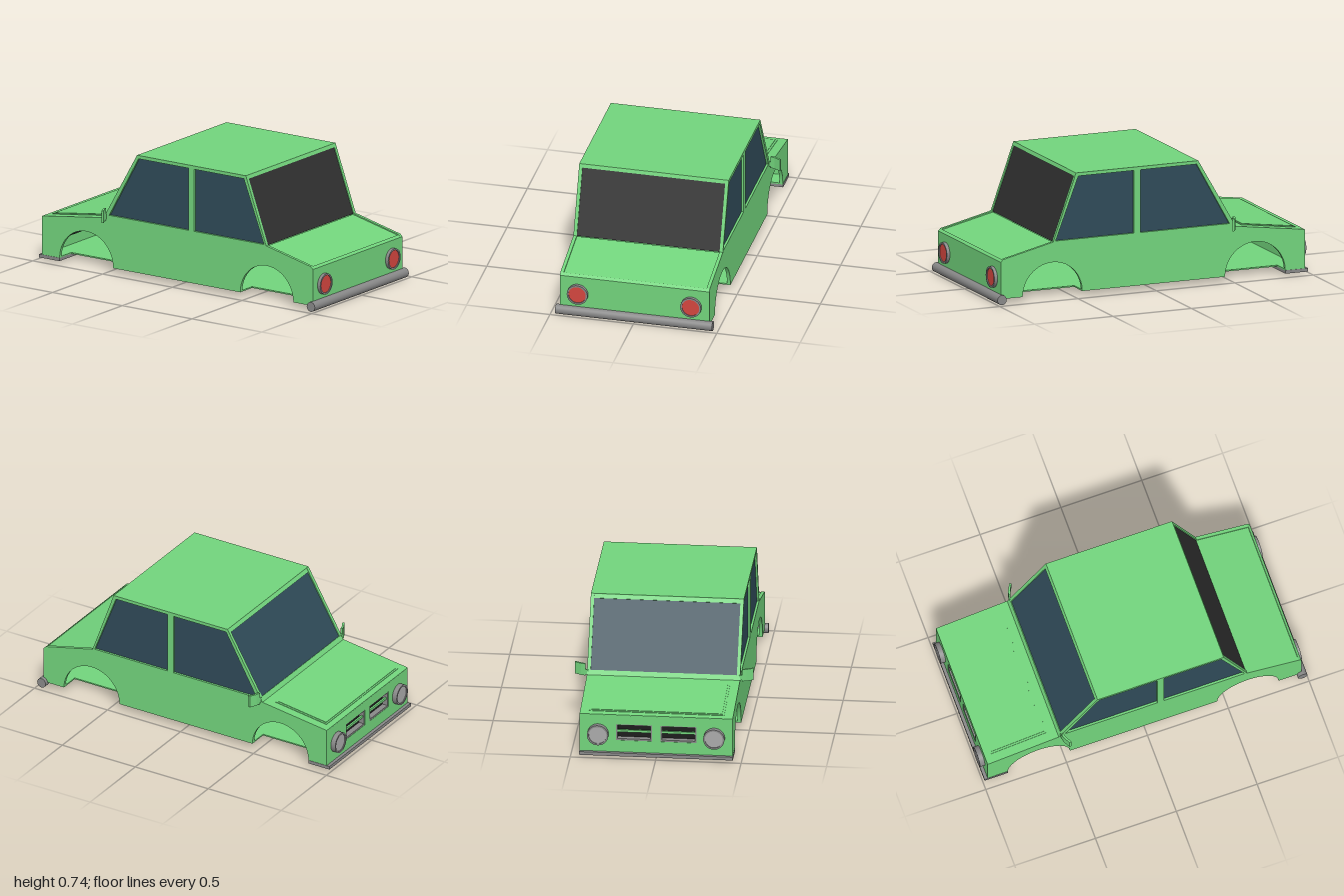
import * as THREE from 'three';

const mat = (color) => new THREE.MeshStandardMaterial({ color, side: THREE.DoubleSide, flatShading: true });
const smooth = (color) => new THREE.MeshStandardMaterial({ color });

export function createModel() {
  const car = new THREE.Group();
  car.name = 'carBody';
  const green = mat(0x72d47c), glass = mat(0x2f4a58), black = mat(0x303030);
  const grey = smooth(0x888888), lensGrey = smooth(0xaaaaaa), red = smooth(0xd4463f), dark = mat(0x1c1c1c);

  const add = (name, geo, material, x = 0, y = 0, z = 0, parent = car) => {
    const m = new THREE.Mesh(geo, material);
    m.name = name;
    m.position.set(x, y, z);
    parent.add(m);
    return m;
  };
  const poly = (pts) => new THREE.Shape(pts.map(([a, b]) => new THREE.Vector2(a, b)));
  const extrude = (shape, depth) =>
    new THREE.ExtrudeGeometry(shape, { depth, bevelEnabled: false, curveSegments: 24 });
  // Extrudes a (z, y) outline across the car, from x = right to x = right - depth
  const across = (shape, right, depth) => extrude(shape, depth).rotateY(-Math.PI / 2).translate(right, 0, 0);
  // A sheet across the car between two (z, y) points, its thickness below the line
  const sheet = (name, [z0, y0], [z1, y1], half, thick, material, lift = 0) => {
    const len = Math.hypot(z1 - z0, y1 - y0);
    let nz = -(y1 - y0) / len, ny = (z1 - z0) / len;
    if (ny < 0) { nz = -nz; ny = -ny; }
    const at = (z, y, d) => [z + nz * d, y + ny * d];
    const pts = [at(z0, y0, lift), at(z1, y1, lift), at(z1, y1, lift - thick), at(z0, y0, lift - thick)];
    return add(name, across(poly(pts), half, 2 * half), material);
  };
  const W = 0.448, T = 0.02, IN = W - T;

  // Side walls with wheel arches and window openings
  const rearWindow = [[0.62, 0.345], [0.475, 0.72], [0.12, 0.72], [0.12, 0.345]];
  const frontWindow = [[0.08, 0.345], [0.08, 0.72], [-0.28, 0.72], [-0.49, 0.345]];
  const side = new THREE.Shape();
  side.moveTo(0.97, 0.03);
  side.lineTo(0.97, 0.25);
  side.lineTo(0.955, 0.265);
  side.lineTo(0.635, 0.34);
  side.lineTo(0.49, 0.74);
  side.lineTo(-0.29, 0.74);
  side.lineTo(-0.53, 0.325);
  side.lineTo(-0.97, 0.265);
  side.lineTo(-0.97, 0.03);
  side.lineTo(-0.845, 0.03);
  side.absarc(-0.653, 0.03, 0.192, Math.PI, 0, true);
  side.lineTo(0.45, 0.03);
  side.absarc(0.64, 0.03, 0.19, Math.PI, 0, true);
  side.closePath();
  for (const w of [rearWindow, frontWindow]) side.holes.push(new THREE.Path(poly(w).getPoints()));
  for (const s of [1, -1]) {
    add('sideWall', across(side, s > 0 ? W : -IN, T), green);
    for (const w of [rearWindow, frontWindow])
      add('sideWindow', across(poly(w), s * 0.432 + 0.003, 0.006), glass);
  }

  // Roof, window frames and glass
  sheet('roof', [0.49, 0.74], [-0.29, 0.74], W, T, green);
  sheet('windscreenTopFrame', [-0.288, 0.739], [-0.302, 0.716], IN, T, green);
  sheet('windscreen', [-0.30, 0.72], [-0.522, 0.34], IN, 0.006, glass, -0.006);
  sheet('windscreenSill', [-0.515, 0.351], [-0.53, 0.325], IN, T, green);
  sheet('rearTopFrame', [0.49, 0.74], [0.4975, 0.719], IN, T, green);
  sheet('rearWindow', [0.495, 0.725], [0.635, 0.34], IN, 0.006, black, -0.004);

  // Boot lid between the side rails, and bonnet with a raised outline
  sheet('bootLid', [0.63, 0.34], [0.96, 0.2635], IN, 0.015, green, -0.006);
  const hoodY = (z) => 0.325 + (z + 0.53) * (0.06 / 0.44);
  const onHood = (z) => [z, hoodY(z)];
  sheet('bonnet', onHood(-0.53), onHood(-0.97), W, 0.015, green);
  sheet('bonnetPanel', onHood(-0.585), onHood(-0.935), 0.395, 0.006, green, 0.003);
  sheet('bonnetPanelTop', onHood(-0.597), onHood(-0.925), 0.383, 0.006, green, 0.006);

  // Floor with cut-outs at the four wheels
  const half = [[0.97, W], [0.83, W], [0.83, 0.33], [0.45, 0.33], [0.45, W],
    [-0.461, W], [-0.461, 0.33], [-0.845, 0.33], [-0.845, W], [-0.97, W]];
  const floorPts = [...half.map(([z, x]) => [x, z]), ...half.slice().reverse().map(([z, x]) => [-x, z])];
  add('floor', extrude(poly(floorPts), 0.008).rotateX(Math.PI / 2), green, 0, 0.038, 0);

  // Rear panel, and nose panel with grille openings
  add('rearPanel', across(poly([[0.97, 0.03], [0.97, 0.25], [0.955, 0.263], [0.95, 0.25], [0.95, 0.03]]), IN, 2 * IN), green);
  const rect = (x0, y0, x1, y1) => [[x0, y0], [x1, y0], [x1, y1], [x0, y1]];
  const nose = poly(rect(-IN, 0.03, IN, 0.262));
  for (const s of [1, -1])
    nose.holes.push(new THREE.Path(poly(rect(s * 0.13 - 0.105, 0.105, s * 0.13 + 0.105, 0.205)).getPoints()));
  add('nosePanel', extrude(nose, 0.02), green, 0, 0, -0.97);
  for (const s of [1, -1]) {
    const grille = new THREE.Group();
    grille.name = 'grille';
    grille.position.set(s * 0.13, 0.155, -0.95);
    car.add(grille);
    const frame = poly(rect(-0.107, -0.052, 0.107, 0.052));
    frame.holes.push(new THREE.Path(poly(rect(-0.097, -0.04, 0.097, 0.044)).getPoints()));
    add('grilleFrame', extrude(frame, 0.035), grey, 0, 0, -0.018, grille);
    add('grilleBar', new THREE.BoxGeometry(0.2, 0.014, 0.012), green, 0, 0.005, -0.004, grille);
    add('grilleBack', new THREE.BoxGeometry(0.214, 0.104, 0.004), dark, 0, 0, 0.018, grille);
  }

  // Round lamps: a rim ring around a lens
  const lamp = (name, x, z, dir, lens) => {
    const g = new THREE.Group();
    g.name = name;
    g.position.set(x, 0.142, z);
    if (dir < 0) g.rotation.y = Math.PI;
    car.add(g);
    const rim = new THREE.Shape().absarc(0, 0, 0.062, 0, Math.PI * 2);
    rim.holes.push(new THREE.Path().absarc(0, 0, 0.052, 0, Math.PI * 2, true));
    add('lampRim', extrude(rim, 0.04), grey, 0, 0, -0.02, g);
    add('lampLens', new THREE.CylinderGeometry(0.053, 0.053, 0.034, 32).rotateX(Math.PI / 2), lens, 0, 0, -0.003, g);
  };
  for (const s of [1, -1]) {
    lamp('tailLight', s * 0.34, 0.97, 1, red);
    lamp('headLight', s * 0.34, -0.98, -1, lensGrey);
  }

  // Bumpers
  add('rearBumper', new THREE.CylinderGeometry(0.029, 0.029, 0.94, 24).rotateZ(Math.PI / 2), grey, 0, 0.029, 0.971);
  add('frontBumper', new THREE.BoxGeometry(0.9, 0.02, 0.145), grey, 0, 0.022, -0.9175);

  // Door mirrors: a thin arm carrying a swept plate
  for (const s of [1, -1]) {
    const plan = (pts, h) => extrude(poly(pts.map(([x, z]) => [s * x, z])), h).rotateX(Math.PI / 2);
    add('mirrorArm', plan([[0.44, -0.522], [0.465, -0.515], [0.465, -0.503], [0.44, -0.51]], 0.03), green, 0, 0.352, 0);
    add('mirror', plan([[0.458, -0.518], [0.485, -0.511], [0.523, -0.49], [0.521, -0.477], [0.483, -0.498], [0.458, -0.505]], 0.073),
      green, 0, 0.388, 0);
  }
  return car;
}
